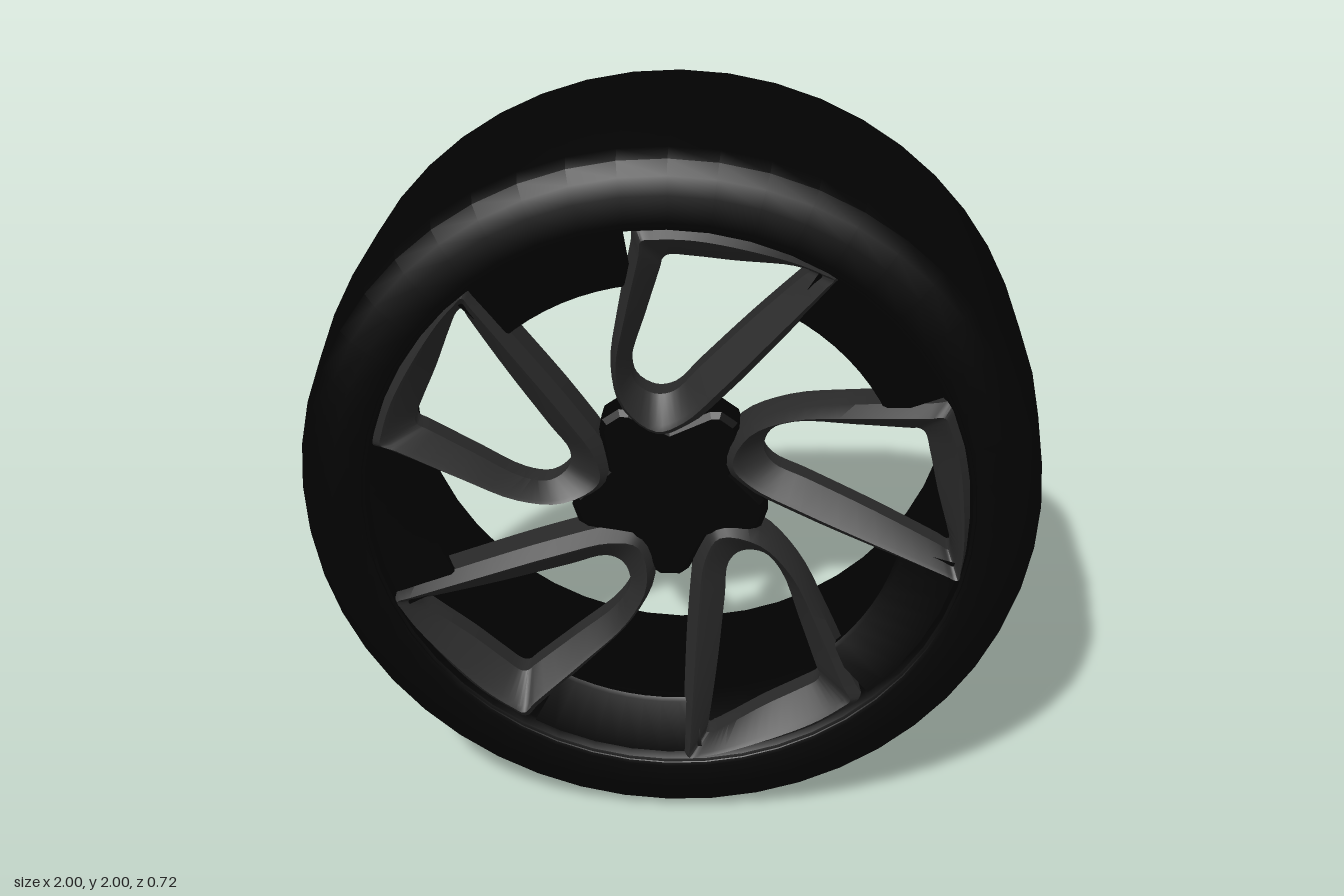
import * as THREE from 'three';
import { toCreasedNormals } from 'three/addons/utils/BufferGeometryUtils.js';

const rubber = new THREE.MeshStandardMaterial({ color: 0x020202 });
rubber.name = 'rubberBlack';
const darkMetal = new THREE.MeshStandardMaterial({ color: 0x010101 });
darkMetal.name = 'darkMetal';
const greyMetal = new THREE.MeshStandardMaterial({ color: 0x292929 });
greyMetal.name = 'greyMetal';

const COUNT = 5;
const STEP = (Math.PI * 2) / COUNT;

// Revolves [radius, z] points about the z axis, from angle start (0 is +x) over length
function revolve(profile, segments = 48, start = 0, length = Math.PI * 2) {
  const points = profile.map(([r, z]) => new THREE.Vector2(r, z));
  const geo = new THREE.LatheGeometry(points, segments, start + Math.PI / 2, length);
  geo.rotateX(Math.PI / 2);
  return toCreasedNormals(geo, 0.6);
}

function addMesh(parent, name, geo, material) {
  const mesh = new THREE.Mesh(geo, material);
  mesh.name = name;
  parent.add(mesh);
  return mesh;
}

// One V-shaped spoke: a closed band between an outer and an inner outline
function spokeGeometry() {
  // [outer x, outer y, inner x, inner y], anticlockwise from the rim's left end
  const stations = [
    [-0.085, 0.8, -0.015, 0.69],
    [-0.092, 0.75, -0.02, 0.67],
    [-0.13, 0.55, -0.06, 0.53],
    [-0.152, 0.38, -0.1, 0.38],
    [-0.125, 0.24, -0.09, 0.31],
    [-0.03, 0.15, -0.04, 0.275],
    [0.05, 0.19, 0.01, 0.285],
    [0.16, 0.31, 0.075, 0.36],
    [0.305, 0.495, 0.205, 0.51],
    [0.42, 0.65, 0.335, 0.65],
    [0.44, 0.68, 0.355, 0.67],
    [0.41, 0.695, 0.34, 0.68],
    [0.34, 0.73, 0.29, 0.685],
    [0.21, 0.775, 0.17, 0.69],
    [0.07, 0.803, 0.06, 0.7],
    [-0.04, 0.803, 0, 0.702],
  ];
  const curve = (i) => new THREE.CatmullRomCurve3(
    stations.map((s) => new THREE.Vector3(s[i], s[i + 1], 0)), true, 'centripetal');
  const outer = curve(0), inner = curve(2);
  const n = stations.length * 4;
  const faceZ = (p) => 0.255 + 0.105 * Math.min(1, Math.max(0, (Math.hypot(p.x, p.y) - 0.15) / 0.65));
  // Cross-section: [blend from outer to inner edge, depth below the face]
  const section = [[0, 0.13], [0, 0.04], [0.3, 0], [0.42, 0.008], [1, 0.065], [0.97, 0.13]];
  const pos = [], index = [], m = section.length;
  for (let s = 0; s < n; s++) {
    const o = outer.getPoint(s / n), i = inner.getPoint(s / n);
    for (const [t, depth] of section) {
      const p = o.clone().lerp(i, t);
      pos.push(p.x, p.y, faceZ(p) - depth);
    }
    for (let k = 0; k < m; k++) {
      const a = s * m + k, b = ((s + 1) % n) * m + k;
      const c = ((s + 1) % n) * m + (k + 1) % m, d = s * m + (k + 1) % m;
      index.push(a, b, c, a, c, d);
    }
  }
  const geo = new THREE.BufferGeometry();
  geo.setAttribute('position', new THREE.Float32BufferAttribute(pos, 3));
  geo.setIndex(index);
  return toCreasedNormals(geo, 0.5);
}

// Five-lobed hub plate, lobes lying between the spokes
function hubGeometry() {
  const points = [];
  for (let i = 0; i < COUNT; i++) {
    const a = -Math.PI / 2 + i * STEP;
    for (const [r, da] of [[0.255, -0.2], [0.27, -0.1], [0.27, 0.1], [0.255, 0.2], [0.18, STEP / 2]]) {
      points.push(new THREE.Vector2(r * Math.cos(a + da), r * Math.sin(a + da)));
    }
  }
  const geo = new THREE.ExtrudeGeometry(new THREE.Shape(points), {
    depth: 0.08, bevelThickness: 0.015, bevelSize: 0.015, bevelOffset: -0.015, bevelSegments: 1,
  });
  geo.translate(0, 0, 0.145);
  return geo;
}

export function createModel() {
  const group = new THREE.Group();
  const wheel = new THREE.Group();
  wheel.name = 'wheel';
  wheel.position.y = 1;
  group.add(wheel);

  // Tyre: chamfered back shoulder, crowned tread, rounded front shoulder
  addMesh(wheel, 'tyre', revolve([
    [0.78, -0.355], [0.82, -0.36], [0.9, -0.355], [0.985, -0.315], [1, 0], [0.985, 0.27],
    [0.97, 0.315], [0.935, 0.342], [0.89, 0.356], [0.82, 0.362], [0.8, 0.355],
  ]), rubber);

  // Rim: front lip and open barrel
  addMesh(wheel, 'rim', revolve([
    [0.81, 0.36], [0.8, 0.35], [0.79, 0.32], [0.765, 0.25], [0.75, 0.1], [0.755, -0.2], [0.78, -0.355],
  ]), darkMetal);

  // Spokes, with dark flange panels filling the rim between them
  const spokeGeo = spokeGeometry();
  const panelGeo = revolve([
    [0.795, 0.33], [0.64, 0.305], [0.63, 0.298], [0.63, 0.285], [0.64, 0.275], [0.78, 0.28],
  ], 8, THREE.MathUtils.degToRad(26), THREE.MathUtils.degToRad(35));
  for (let i = 0; i < COUNT; i++) {
    addMesh(wheel, 'spoke' + (i + 1), spokeGeo, greyMetal).rotation.z = i * STEP;
    addMesh(wheel, 'flangePanel' + (i + 1), panelGeo, darkMetal).rotation.z = i * STEP;
  }

  addMesh(wheel, 'hub', hubGeometry(), darkMetal);

  return group;
}
